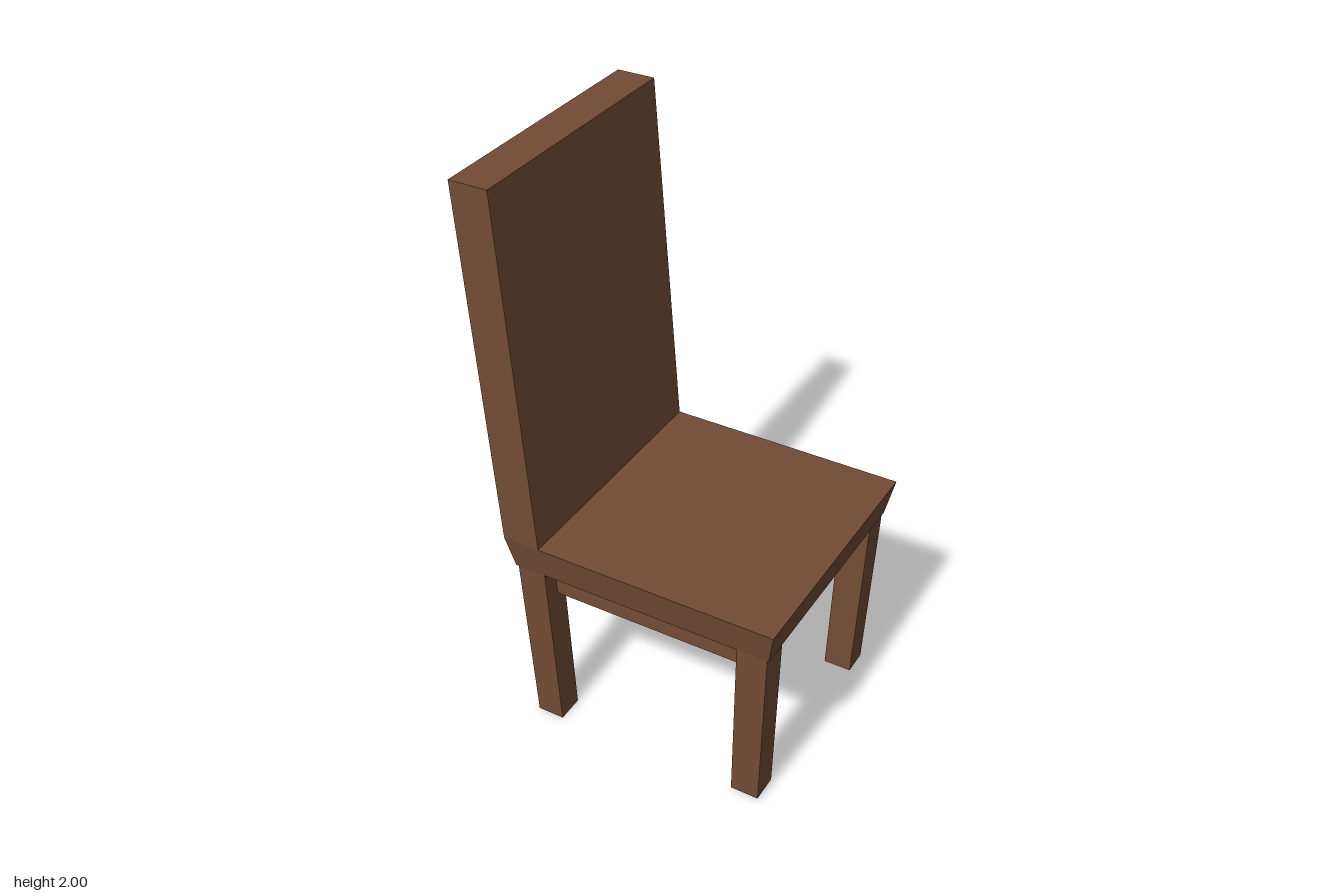
import * as THREE from 'three';

// Six-sided block whose bottom and top rectangles differ: [x0, x1, z0, z1]
function block(name, material, y0, y1, bottom, top) {
  const geometry = new THREE.BoxGeometry(1, 1, 1);
  const p = geometry.attributes.position;
  for (let i = 0; i < p.count; i++) {
    const upper = p.getY(i) > 0;
    const r = upper ? top : bottom;
    p.setXYZ(i, p.getX(i) < 0 ? r[0] : r[1], upper ? y1 : y0, p.getZ(i) < 0 ? r[2] : r[3]);
  }
  geometry.computeVertexNormals();
  const mesh = new THREE.Mesh(geometry, material);
  mesh.name = name;
  return mesh;
}

export function createModel() {
  const chair = new THREE.Group();
  chair.name = 'chair';
  const wood = new THREE.MeshStandardMaterial({ color: 0x734c36 });
  wood.name = 'brown wood';

  // Seat flares outwards towards its top
  chair.add(block('seat', wood, 0.645, 0.768,
    [-0.42, 0.5, -0.42, 0.42], [-0.44, 0.525, -0.445, 0.445]));

  // Backrest leans away from the seat
  chair.add(block('backrest', wood, 0.768, 2,
    [-0.44, -0.31, -0.445, 0.445], [-0.527, -0.395, -0.445, 0.445]));

  // Solid apron under the seat, set in behind the leg faces
  const apron = [-0.36, 0.445, -0.36, 0.36];
  chair.add(block('apron', wood, 0.53, 0.645, apron, apron));

  // Four legs, drawn in slightly towards the floor
  const xs = [
    { name: 'back', bottom: [-0.385, -0.29], top: [-0.41, -0.31] },
    { name: 'front', bottom: [0.37, 0.468], top: [0.39, 0.495] },
  ];
  const zs = [
    { name: 'Right', bottom: [-0.393, -0.302], top: [-0.415, -0.318] },
    { name: 'Left', bottom: [0.304, 0.4], top: [0.32, 0.42] },
  ];
  for (const x of xs) {
    for (const z of zs) {
      // One corner leg is a touch shorter than the rest
      const floor = x.name === 'front' && z.name === 'Left' ? 0.01 : 0;
      chair.add(block(`${x.name}${z.name}Leg`, wood, floor, 0.645,
        [...x.bottom, ...z.bottom], [...x.top, ...z.top]));
    }
  }
  return chair;
}
